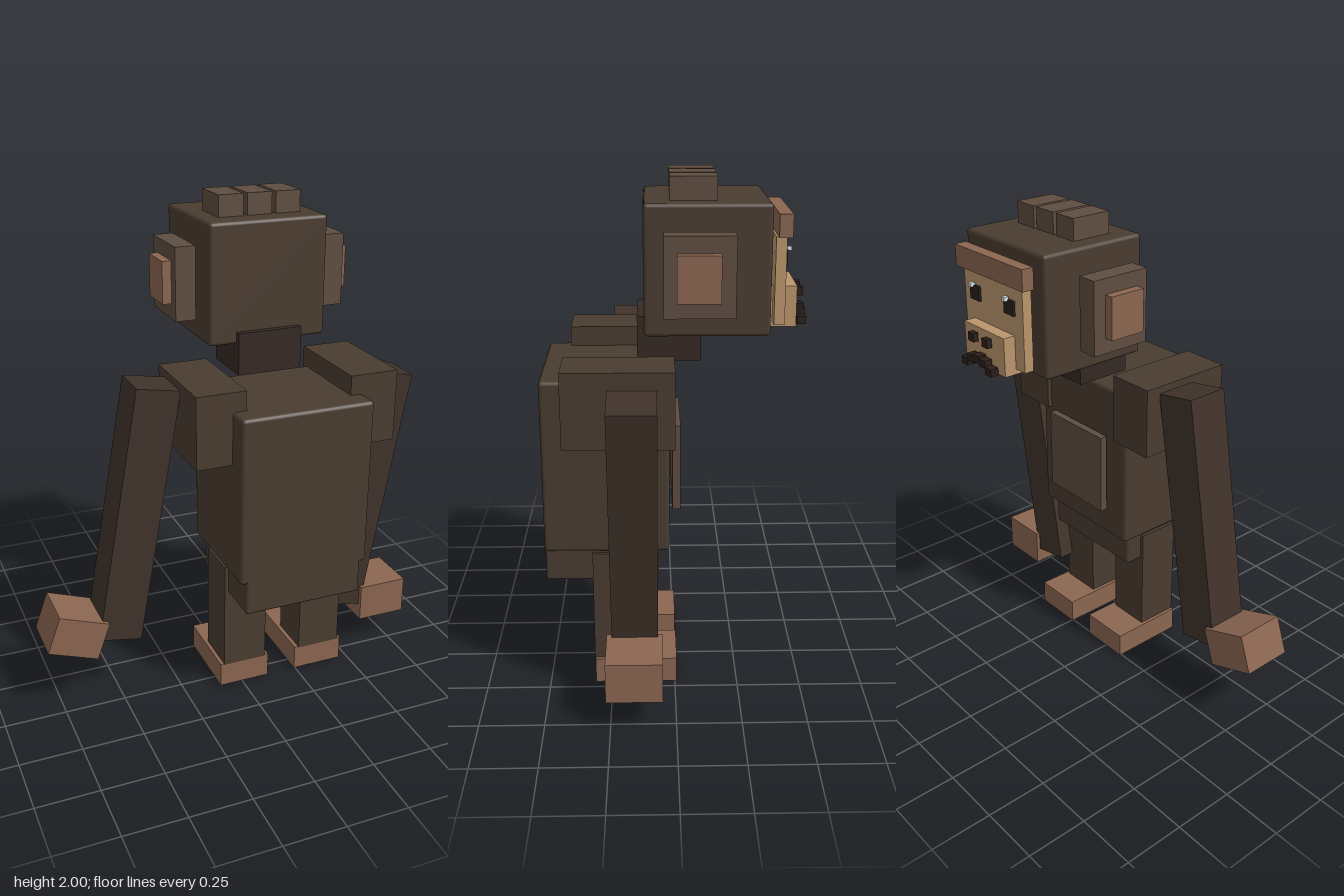
import * as THREE from 'three';
import { RoundedBoxGeometry } from 'three/addons/geometries/RoundedBoxGeometry.js';

const MID = 0.183; // x of the body's mirror plane
const paint = (color) => new THREE.MeshStandardMaterial({ color });
const FUR = paint(0x4a3c30), ARM = paint(0x40322a), NECK = paint(0x352923);
const TUFT = paint(0x5f4d40), SKIN = paint(0x8b6650), TAN = paint(0xba966c);
const DARK = paint(0x2a1f1b), GLINT = paint(0xdde4ea);

export function createModel() {
  const model = new THREE.Group();

  // Box from centre and size, optionally rounded or tilted about z
  function box(name, mat, [x, y, z], [w, h, d], { round = 0, tilt = 0 } = {}) {
    const geo = round ? new RoundedBoxGeometry(w, h, d, 2, round) : new THREE.BoxGeometry(w, h, d);
    const mesh = new THREE.Mesh(geo, mat);
    mesh.name = name;
    mesh.position.set(x, y, z);
    mesh.rotation.z = THREE.MathUtils.degToRad(tilt);
    model.add(mesh);
    return mesh;
  }

  // Trunk
  box('torso', FUR, [MID, 0.926, 0.263], [0.55, 0.69, 0.484], { round: 0.015 });
  box('hips', FUR, [MID, 0.545, 0.283], [0.5, 0.2, 0.444], { round: 0.012 });
  box('chestPanel', TUFT, [MID, 0.885, -0.008], [0.34, 0.347, 0.032]);
  box('neck', NECK, [MID, 1.396, 0.02], [0.27, 0.172, 0.24]);

  // Head and hair tufts
  box('head', FUR, [MID, 1.673, -0.117], [0.497, 0.482, 0.463], { round: 0.015 });
  for (const i of [-1, 0, 1]) {
    box('hairTuft', TUFT, [MID + i * 0.121, 1.95, -0.068], [0.104, 0.1, 0.172]);
  }

  // Face, on the -z side
  box('facePlate', TAN, [MID, 1.623, -0.386], [0.375, 0.326, 0.04]);
  box('brow', SKIN, [MID, 1.829, -0.398], [0.43, 0.084, 0.05]);
  box('snout', TAN, [MID, 1.516, -0.402], [0.26, 0.155, 0.108]);
  for (const s of [-1, 1]) {
    box('eye', DARK, [MID + s * 0.11, 1.702, -0.405], [0.06, 0.058, 0.022]);
    box('eyeGlint', GLINT, [MID + s * 0.11 + 0.012, 1.733, -0.42], [0.018, 0.016, 0.02]);
    box('nostril', DARK, [MID + s * 0.045, 1.558, -0.476], [0.036, 0.035, 0.022]);
  }
  // Mouth: an arch of small blocks
  for (let i = -2; i <= 2; i++) {
    box('mouthBlock', DARK, [MID + i * 0.039, 1.485 - 0.0075 * i * i, -0.482], [0.039, 0.031, 0.034]);
  }

  // Mirrored parts
  for (const s of [-1, 1]) {
    box('ear', TUFT, [MID + s * 0.319, 1.674, -0.085], [0.083, 0.292, 0.255]);
    box('innerEar', SKIN, [MID + s * 0.378, 1.674, -0.081], [0.038, 0.17, 0.155]);
    box('shoulder', FUR, [MID + s * 0.32, 1.204, 0.208], [0.202, 0.292, 0.412]);
    box('leg', FUR, [MID + s * 0.173, 0.333, 0.228], [0.185, 0.465, 0.185]);
    box('foot', SKIN, [MID + s * 0.172, 0.052, 0.155], [0.217, 0.104, 0.325]);
  }

  // Arms both lean the same way
  box('leftArm', ARM, [0.602, 0.744, 0.157], [0.178, 1.067, 0.178], { tilt: -10 });
  box('rightArm', ARM, [-0.415, 0.809, 0.157], [0.178, 1.067, 0.178], { tilt: -10 });
  box('leftHand', SKIN, [0.699, 0.214, 0.158], [0.214, 0.16, 0.214]);
  box('rightHand', SKIN, [-0.683, 0.341, 0.158], [0.214, 0.16, 0.214], { tilt: -20 });

  return model;
}
